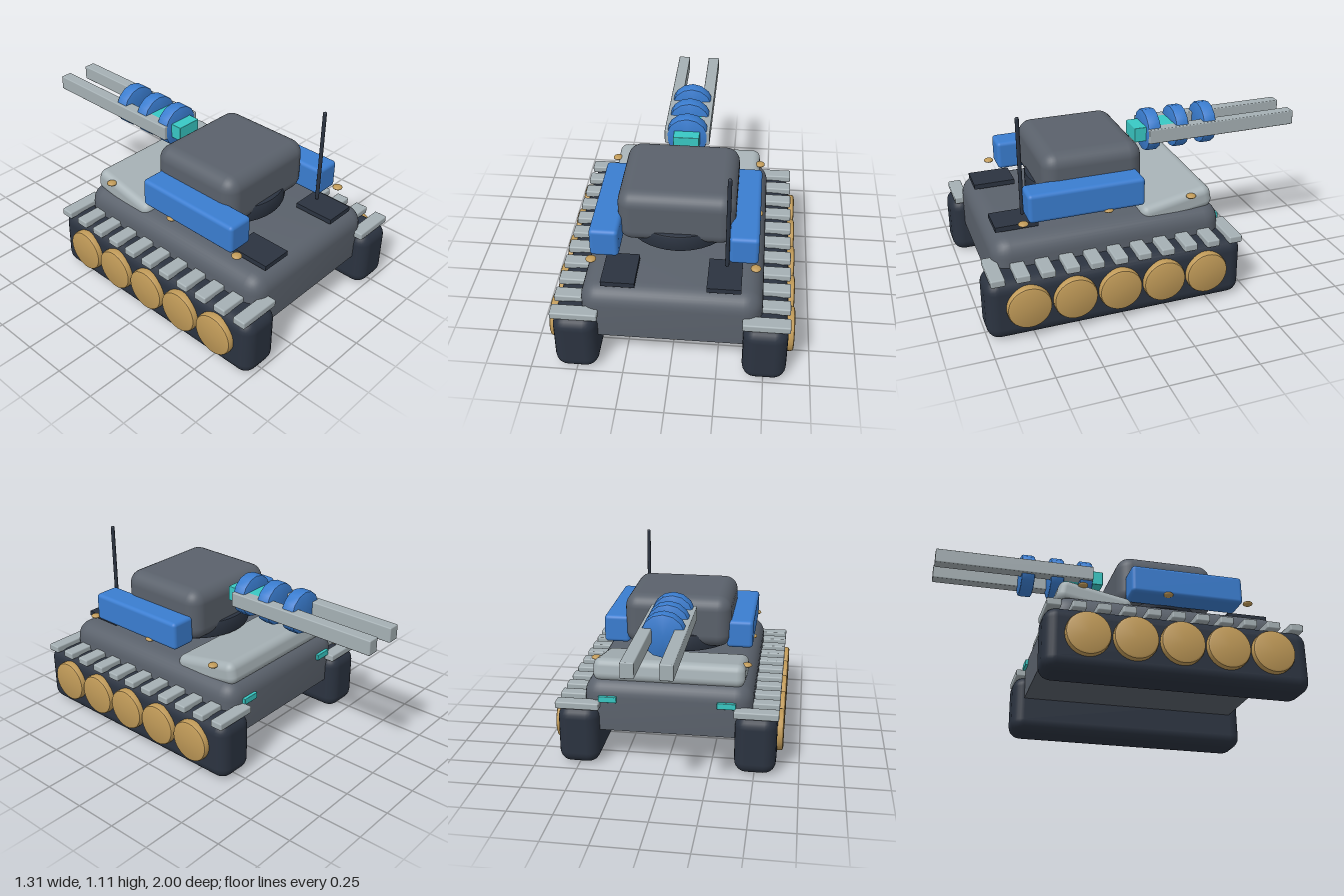
import * as THREE from 'three';
import { toCreasedNormals } from 'three/addons/utils/BufferGeometryUtils.js';
import { RoundedBoxGeometry } from 'three/addons/geometries/RoundedBoxGeometry.js';

function material(name, color) {
  const m = new THREE.MeshStandardMaterial({ color });
  m.name = name;
  return m;
}

export function createModel() {
  const model = new THREE.Group();
  model.name = 'tank';
  const armour = material('dark grey armour', 0x5a616b);
  const steel = material('light grey steel', 0xa5b0b4);
  const navy = material('dark navy', 0x2b3340);
  const blue = material('blue', 0x3a7dd0);
  const gold = material('gold', 0xc09a58);
  const teal = material('teal', 0x38c8c4);

  function add(name, geometry, mat, x, y, z, parent = model) {
    const mesh = new THREE.Mesh(geometry, mat);
    mesh.name = name;
    mesh.position.set(x, y, z);
    parent.add(mesh);
    return mesh;
  }
  const box = (w, h, d, r = 0, seg = 3) =>
    r ? new RoundedBoxGeometry(w, h, d, seg, r) : new THREE.BoxGeometry(w, h, d);

  // Disc with bevelled rims, axis along y
  function disc(radius, height, bevel, sides) {
    const h = height / 2;
    const profile = [
      [0, -h], [radius - bevel, -h], [radius - bevel * 0.3, -h + bevel * 0.3], [radius, -h + bevel],
      [radius, h - bevel], [radius - bevel * 0.3, h - bevel * 0.3], [radius - bevel, h], [0, h],
    ].map(([x, y]) => new THREE.Vector2(x, y));
    return toCreasedNormals(new THREE.LatheGeometry(profile, sides), 0.6);
  }

  // Hull: rounded above, flattened underneath
  const hull = box(0.96, 0.4, 1.31, 0.1, 4);
  const pos = hull.attributes.position;
  for (let i = 0; i < pos.count; i++) pos.setY(i, Math.max(pos.getY(i), -0.1));
  add('hull', toCreasedNormals(hull, 0.7), armour, 0, 0.3, 0.27);

  // Sloped front deck
  add('frontDeck', box(0.86, 0.13, 0.42, 0.045), steel, 0, 0.508, -0.137).rotation.x = 0.2;

  // Running gear and fittings on both sides
  const wheelGeo = disc(0.12, 0.07, 0.014, 32);
  const plateGeo = box(0.25, 0.042, 0.076, 0.008, 2);
  const boltGeo = new THREE.SphereGeometry(0.028, 16, 10).scale(1, 0.45, 1);
  for (const s of [1, -1]) {
    const side = new THREE.Group();
    side.name = s > 0 ? 'leftSide' : 'rightSide';
    model.add(side);
    add('track', box(0.236, 0.35, 1.45, 0.07), navy, s * 0.502, 0.175, 0.275, side);
    for (let i = 0; i < 5; i++) {
      add('wheel', wheelGeo, gold, s * 0.62, 0.195, -0.225 + i * 0.2515, side).rotation.z = Math.PI / 2;
    }
    for (let i = 0; i < 11; i++) {
      add('trackPlate', plateGeo, steel, s * 0.503, 0.36, -0.402 + i * 0.1337, side);
    }
    for (const z of [-0.21, 0.275, 0.745]) add('bolt', boltGeo, gold, s * 0.433, 0.573, z, side);
    add('sidePod', box(0.155, 0.165, 0.65, 0.022), blue, s * 0.368, 0.65, 0.39, side);
    add('rearVent', box(0.178, 0.028, 0.235), navy, s * 0.275, 0.525, 0.765, side);
    add('frontLamp', box(0.105, 0.036, 0.03, 0.004, 1), teal, s * 0.335, 0.393, -0.387, side);
    add('barrel', box(0.07, 0.085, 0.92, 0.006, 2), steel, s * 0.096, 0.823, -0.54, side);
  }

  // Turret on its ring
  add('turretRing', disc(0.312, 0.1, 0.012, 40), navy, 0, 0.6, 0.31);
  add('turret', box(0.632, 0.31, 0.568, 0.08, 4), armour, 0, 0.72, 0.31);

  // Gun core and collars around the twin barrels
  add('gunCore', box(0.15, 0.086, 0.265, 0.004, 1), teal, 0, 0.823, -0.1425);
  const collarGeo = disc(0.123, 0.078, 0.01, 14);
  for (const z of [-0.118, -0.29, -0.462]) {
    add('gunCollar', collarGeo, blue, 0, 0.823, z).rotation.x = Math.PI / 2;
  }

  // Aerial
  add('antenna', new THREE.CapsuleGeometry(0.011, 0.54, 4, 10), navy, 0.282, 0.832, 0.715);

  return model;
}
